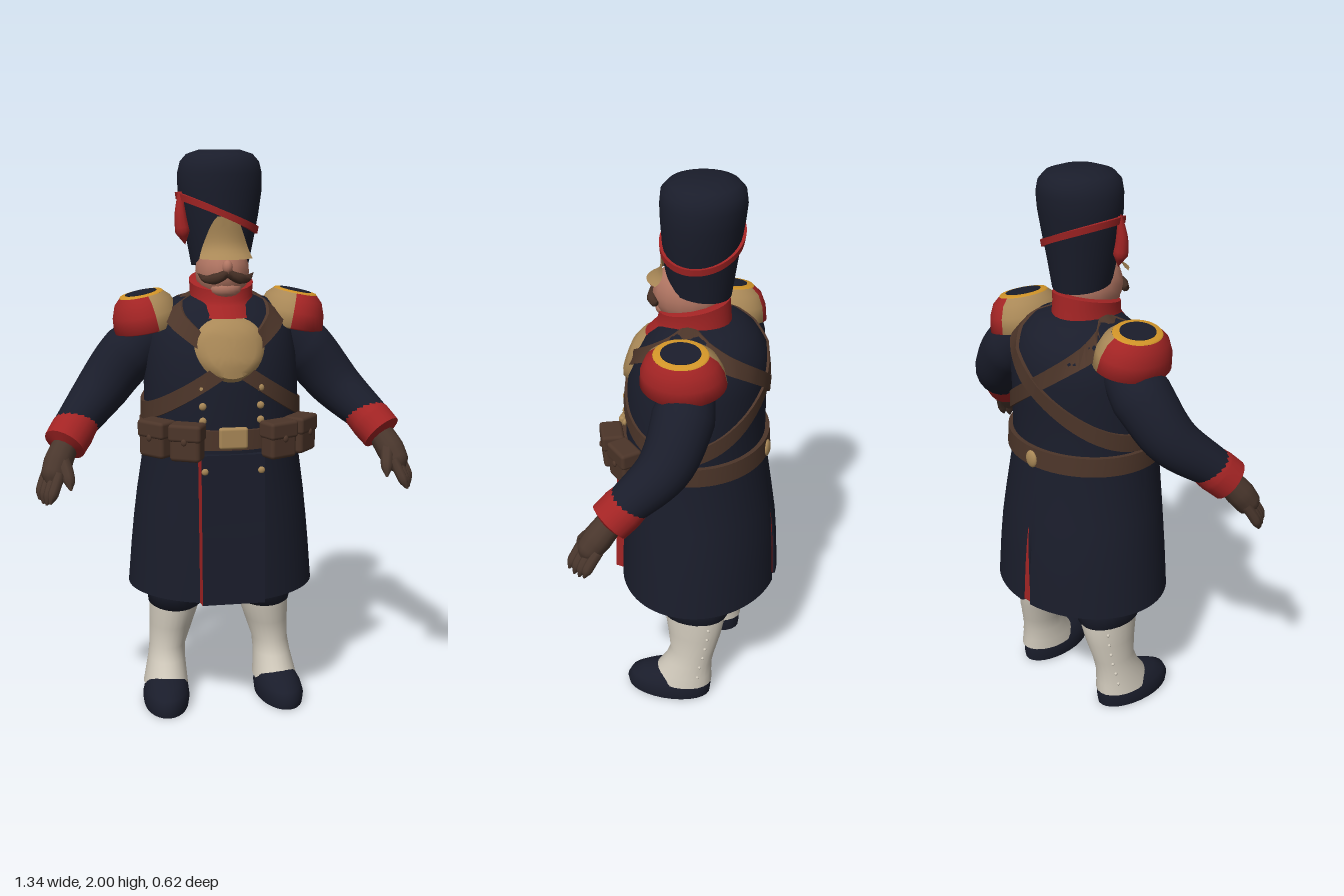
import * as THREE from 'three';
import { toCreasedNormals } from 'three/addons/utils/BufferGeometryUtils.js';
import { RoundedBoxGeometry } from 'three/addons/geometries/RoundedBoxGeometry.js';

const V = (x, y, z) => new THREE.Vector3(x, y, z);
const mat = (name, color) => {
  const m = new THREE.MeshStandardMaterial({ color, side: THREE.DoubleSide });
  m.name = name;
  return m;
};

// Piecewise-linear lookup in rows whose first entry is the key
function lookup(rows, k) {
  let i = 0;
  while (i < rows.length - 2 && k > rows[i + 1][0]) i++;
  const t = THREE.MathUtils.clamp((k - rows[i][0]) / (rows[i + 1][0] - rows[i][0]), 0, 1);
  return rows[i].map((v, n) => v + (rows[i + 1][n] - v) * t);
}

// Surface from a rule p(column, row)
function grid(nu, nv, p, crease = 0.8) {
  const pos = [], idx = [];
  for (let j = 0; j <= nv; j++) for (let i = 0; i <= nu; i++) pos.push(...p(i, j).toArray());
  for (let j = 0; j < nv; j++) for (let i = 0; i < nu; i++) {
    const a = j * (nu + 1) + i, b = a + nu + 1;
    idx.push(a, b, a + 1, b, b + 1, a + 1);
  }
  const g = new THREE.BufferGeometry();
  g.setAttribute('position', new THREE.Float32BufferAttribute(pos, 3));
  g.setIndex(idx);
  return toCreasedNormals(g, crease);
}

// Point on an upright body made of rows [y, halfWidth, frontZ, backZ, centreX]
function around(rows, y, a, off = 0) {
  const [, rx, f, b, cx = 0] = lookup(rows, y);
  return V(cx + (rx + off) * Math.cos(a), y, (f + b) / 2 + ((f - b) / 2 + off) * Math.sin(a));
}
function frontZ(rows, x, y) {
  const [, rx, f, b] = lookup(rows, y);
  return (f + b) / 2 + ((f - b) / 2) * Math.sqrt(Math.max(0, 1 - (x / rx) ** 2));
}

// Closed loft through the rows, with an optional rule that moves each point
function loft(rows, seg = 32, move = (p) => p) {
  const n = rows.length;
  return grid(seg, n + 1, (i, j) => {
    const row = rows[THREE.MathUtils.clamp(j - 1, 0, n - 1)];
    const a = ((i % seg) / seg) * Math.PI * 2;
    const p = around(rows, row[0], a);
    if (j === 0 || j === n + 1) p.set(row[4] || 0, row[0], (row[2] + row[3]) / 2);
    return move(p, a);
  });
}

// Strap of half height h and thickness t lying on a body, at height yAt(angle)
function band(rows, yAt, h, t) {
  const ring = [[-h, -0.01], [-h, t], [h, t], [h, -0.01], [-h, -0.01]];
  return grid(64, 4, (i, j) => {
    const a = ((i % 64) / 64) * Math.PI * 2;
    return around(rows, yAt(a) + ring[j][0], a, ring[j][1]);
  }, 0.6);
}

// Round limb along points, with radii [fraction, radius]
function limb(points, radii, seg = 16, sides = 16) {
  const curve = new THREE.CatmullRomCurve3(points.map((p) => V(...p)));
  const g = new THREE.TubeGeometry(curve, seg, 1, sides);
  const pos = g.attributes.position, nor = g.attributes.normal;
  for (let i = 0; i < pos.count; i++) {
    const u = Math.floor(i / (sides + 1)) / seg;
    const n = V(0, 0, 0).fromBufferAttribute(nor, i).multiplyScalar(lookup(radii, u)[1]);
    n.add(curve.getPointAt(u));
    pos.setXYZ(i, n.x, n.y, n.z);
  }
  return toCreasedNormals(g, 0.9);
}

const COAT = [[0.455, 0.337, 0.265, -0.312], [0.6, 0.325, 0.26, -0.305], [0.7, 0.315, 0.255, -0.297], [0.8, 0.303, 0.25, -0.283],
  [0.97, 0.278, 0.243, -0.258], [1.05, 0.276, 0.24, -0.25], [1.2, 0.274, 0.236, -0.25], [1.3, 0.268, 0.224, -0.256],
  [1.4, 0.25, 0.19, -0.245], [1.45, 0.218, 0.15, -0.21], [1.49, 0.165, 0.11, -0.165], [1.51, 0.1, 0.08, -0.11]];
const HAT = [[1.61, 0.1, 0.085, -0.126], [1.7, 0.118, 0.1, -0.142], [1.78, 0.134, 0.105, -0.155], [1.86, 0.146, 0.11, -0.168],
  [1.92, 0.147, 0.112, -0.175], [1.96, 0.137, 0.108, -0.17], [1.985, 0.115, 0.085, -0.148], [2, 0.07, 0.04, -0.1]];
const COLLAR = [[1.44, 0.13, 0.172, -0.135], [1.48, 0.115, 0.135, -0.13], [1.52, 0.109, 0.126, -0.125], [1.555, 0.112, 0.122, -0.122], [1.56, 0.094, 0.1, -0.105]];
const TROUSER = [[0.35, 0.08, 0.05, -0.165, 0.167], [0.365, 0.098, 0.075, -0.178, 0.166], [0.42, 0.108, 0.1, -0.185, 0.162], [0.52, 0.11, 0.1, -0.18, 0.15]];
const GAITER = [[0.06, 0.082, 0.11, -0.13, 0.207], [0.1, 0.076, 0.085, -0.128, 0.204], [0.15, 0.069, 0.05, -0.128, 0.2],
  [0.2, 0.067, 0.032, -0.138, 0.195], [0.28, 0.08, 0.045, -0.158, 0.181], [0.34, 0.09, 0.057, -0.168, 0.171], [0.375, 0.092, 0.06, -0.168, 0.167]];
const SHOE = [[0, 0.082, 0.195, -0.122, 0.21], [0.03, 0.086, 0.2, -0.126, 0.21], [0.06, 0.08, 0.185, -0.125, 0.208],
  [0.085, 0.068, 0.14, -0.12, 0.206], [0.11, 0.05, 0.06, -0.1, 0.204]];

export function createModel() {
  const navy = mat('navy cloth', 0x1a1d2b), red = mat('red cloth', 0xa32424), brass = mat('dull brass', 0xa98857);
  const gold = mat('gold trim', 0xd19428), leather = mat('brown leather', 0x4c3529), white = mat('white canvas', 0xd0c9bb);
  const skin = mat('skin', 0xb27663), glove = mat('glove leather', 0x4a372d), hair = mat('moustache hair', 0x452f25);
  const model = new THREE.Group();
  const add = (name, geo, m, parent = model) => {
    const mesh = new THREE.Mesh(geo, m);
    mesh.name = name;
    parent.add(mesh);
    return mesh;
  };
  const ball = (name, m, parent, x, y, z, rx, ry = rx, rz = rx) => {
    const b = add(name, new THREE.SphereGeometry(1, 16, 12), m, parent);
    b.position.set(x, y, z);
    b.scale.set(rx, ry, rz);
    return b;
  };

  // Greatcoat with a vent cut into the back of the skirt
  add('coat', loft(COAT, 96, (p, a) => {
    if (p.y < 0.8 && Math.abs(a - Math.PI * 1.5) < 0.03) p.z += 0.1 * (0.8 - p.y);
    return p;
  }), navy);
  add('ventLining', grid(2, 6, (i, j) => {
    const y = 0.46 + j * 0.05, w = 0.016 * (1 - j / 6.5);
    return V((1 - i) * w, y, lookup(COAT, y)[3] + 0.03 * (0.8 - y) - 0.002);
  }), red);

  // Front flap with red edges
  const flap = new THREE.BoxGeometry(0.236, 0.53, 0.05, 1, 6, 1);
  const fp = flap.attributes.position;
  for (let i = 0; i < fp.count; i++) {
    const y = fp.getY(i) + 0.72, front = fp.getZ(i) > 0;
    fp.setXYZ(i, fp.getX(i) * (front ? 0.93 : 1), y, lookup(COAT, y)[2] + (front ? 0.014 : -0.036));
  }
  flap.computeVertexNormals();
  add('frontFlap', flap, [red, red, navy, red, navy, navy]);

  // Belt, crossed straps and buckles
  add('belt', band(COAT, () => 1.035, 0.034, 0.016), leather);
  for (const s of [1, -1]) add('crossStrap', band(COAT, (a) => 1.295 + s * 0.19 * Math.cos(a), 0.031, s > 0 ? 0.012 : 0.009), leather);
  add('buckle', new RoundedBoxGeometry(0.1, 0.075, 0.025, 2, 0.01), brass).position.set(0, 1.045, 0.26);
  ball('backBuckle', brass, model, 0, 1.025, -0.268, 0.026, 0.032, 0.012);

  // Breastplate lying on the chest, broad at the top
  add('breastplate', grid(32, 6, (i, j) => {
    const r = 1 - j / 6, a = (i / 32) * Math.PI * 2, s = Math.sin(a);
    const x = 0.125 * r * Math.cos(a) * (1 + 0.12 * s), y = 1.34 + 0.112 * r * s;
    return V(x, y, frontZ(COAT, x, y) + (j ? 0.016 + 0.012 * (1 - r * r) : -0.005));
  }), brass);

  // High collar, lower at the throat
  add('collar', loft(COLLAR, 32, (p) => (p.y > 1.5 ? p.setY(p.y - 0.22 * p.z) : p)), red);

  // Head
  ball('head', skin, model, 0, 1.59, 0.025, 0.094, 0.11, 0.12);
  ball('nose', skin, model, 0, 1.612, 0.138, 0.018, 0.024, 0.02);
  ball('chin', skin, model, 0, 1.535, 0.095, 0.055, 0.035, 0.042);

  // Tall fur hat, cord, front plate with peak, and tassel
  add('hat', loft(HAT, 32, (p) => (p.y < 1.65 ? p.setY(p.y + 0.13 * p.z) : p)), navy);
  add('hatCord', band(HAT, (a) => 1.785 - 0.06 * Math.cos(a), 0.012, 0.01), red);
  add('hatPlate', grid(10, 10, (i, j) => {
    const v = j / 10, y = 1.638 + 0.142 * v;
    const x = (1 - i / 5) * (0.092 - 0.05 * v - 0.012 * v ** 8);
    return V(x, y, frontZ(HAT, x, y) + 0.009 + 0.065 * (1 - v) ** 5);
  }), brass);
  add('tassel', limb([[-0.143, 1.86, 0.01], [-0.143, 1.77, 0.02], [-0.128, 1.68, 0.02]], [[0, 0.008], [0.4, 0.02], [0.75, 0.026], [1, 0]], 12, 10), red);

  // Mirrored parts
  for (const side of [1, -1]) {
    const half = new THREE.Group();
    half.name = side > 0 ? 'leftSide' : 'rightSide';
    half.scale.x = side;
    model.add(half);

    add('moustache', limb([[0, 1.592, 0.142], [0.035, 1.575, 0.138], [0.07, 1.57, 0.118], [0.098, 1.59, 0.098]],
      [[0, 0.014], [0.4, 0.019], [0.75, 0.012], [1, 0]], 12, 8), hair, half);

    // Coat buttons
    for (const y of [1.21, 1.15, 1.1]) ball('coatButton', brass, half, 0.1, y, frontZ(COAT, 0.1, y) + 0.004, 0.013, 0.013, 0.008);
    ball('flapButton', brass, half, 0.098, 0.93, 0.26, 0.012, 0.012, 0.007);

    // Belt pouches
    for (const [x, z, turn] of [[0.158, 0.255, 0.45], [0.252, 0.175, 0.85]]) {
      const pouch = new THREE.Group();
      pouch.name = 'pouch';
      pouch.position.set(x, 1.035, z);
      pouch.rotation.y = turn;
      half.add(pouch);
      add('pouchBody', new RoundedBoxGeometry(0.108, 0.125, 0.07, 2, 0.014), leather, pouch);
      add('pouchFlap', new RoundedBoxGeometry(0.116, 0.06, 0.08, 2, 0.012), leather, pouch).position.y = 0.036;
      ball('pouchStud', leather, pouch, 0, 0.008, 0.04, 0.01, 0.012, 0.006);
    }

    // Sleeve, cuff and gloved hand
    add('sleeve', limb([[0.2, 1.4, -0.05], [0.335, 1.28, -0.06], [0.43, 1.165, -0.03], [0.54, 1.055, 0.08]],
      [[0, 0.08], [0.3, 0.106], [0.6, 0.094], [1, 0.068]], 20, 20), navy, half);
    add('cuff', limb([[0.492, 1.095, 0.035], [0.53, 1.055, 0.075], [0.572, 1.002, 0.125]],
      [[0, 0], [0.05, 0.068], [0.5, 0.077], [0.9, 0.075], [1, 0.03]], 20, 20), red, half);
    add('palm', limb([[0.555, 1.02, 0.105], [0.59, 0.955, 0.15], [0.615, 0.89, 0.19]],
      [[0, 0.045], [0.5, 0.05], [0.85, 0.044], [1, 0.02]], 12, 12), glove, half);
    for (let k = 0; k < 4; k++) {
      const d = (k - 1.5) * 0.022;
      add('finger', limb([[0.605 - d * 0.6, 0.93, 0.168 + d], [0.628 - d * 0.6, 0.875, 0.195 + d], [0.64 - d * 0.5, 0.823 + Math.abs(d) * 0.4, 0.21 + d]],
        [[0, 0.019], [0.75, 0.018], [1, 0.004]], 10, 8), glove, half);
    }
    add('thumb', limb([[0.575, 0.97, 0.16], [0.558, 0.92, 0.21], [0.552, 0.88, 0.238]], [[0, 0.027], [0.75, 0.02], [1, 0.004]], 10, 8), glove, half);

    // Epaulette: red outside, brass inside, gold ring on top
    const ep = new THREE.Group();
    ep.name = 'epaulette';
    ep.position.set(0.264, 1.442, -0.04);
    ep.rotation.z = -0.2;
    ep.scale.z = 1.2;
    half.add(ep);
    const dome = [[0.098, -0.06], [0.122, -0.052], [0.116, 0], [0.1, 0.042], [0.078, 0.064]].map((p) => new THREE.Vector2(...p));
    const ring = [[0.078, 0.064], [0.074, 0.069], [0.055, 0.07]].map((p) => new THREE.Vector2(...p));
    add('epauletteFringe', new THREE.LatheGeometry(dome, 20, -0.2, Math.PI + 0.4), red, ep);
    add('epauletteInner', new THREE.LatheGeometry(dome, 16, Math.PI + 0.2, Math.PI - 0.4), brass, ep);
    add('epauletteRing', new THREE.LatheGeometry(ring, 32), gold, ep);
    add('epauletteTop', new THREE.CylinderGeometry(0.056, 0.056, 0.006, 32), navy, ep).position.y = 0.069;

    // Leg
    add('trouser', loft(TROUSER, 24), navy, half);
    add('gaiter', loft(GAITER, 24), white, half);
    add('shoe', loft(SHOE, 28, (p) => p.setX(p.x + 0.05 * p.z)), navy, half);
    for (let k = 0; k < 6; k++) {
      const p = around(GAITER, 0.11 + k * 0.045, -0.7);
      ball('gaiterButton', white, half, p.x, p.y, p.z, 0.006);
    }
  }
  return model;
}
